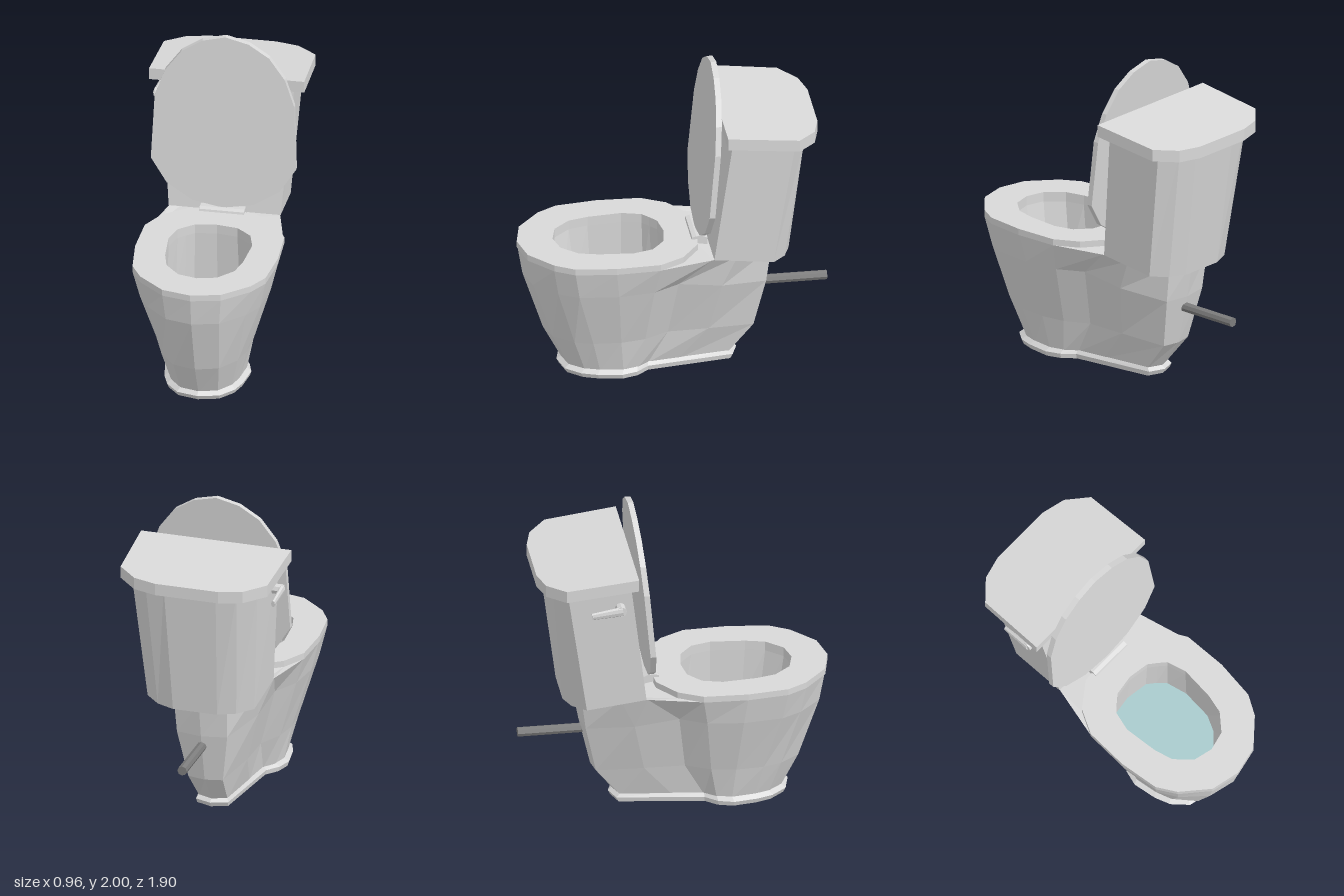
import * as THREE from 'three';

const mat = (name, color) => Object.assign(new THREE.MeshStandardMaterial({ color, flatShading: true }), { name });

// Mirror a half outline of [x, z] points (front to back on +x) into a full ring at height y (number or function of z)
function ring(half, y) {
  const right = half.filter(([x]) => x > 0).reverse().map(([x, z]) => [-x, z]);
  return [...half, ...right].map(([x, z]) => new THREE.Vector3(x, typeof y === 'function' ? y(z) : y, z));
}

// Skin a stack of rings, with optional fan caps
function loft(rings, { bottom = false, top = false } = {}) {
  const pos = [];
  const tri = (...pts) => pts.forEach((p) => pos.push(p.x, p.y, p.z));
  const n = rings[0].length;
  const centre = (r) => r.reduce((s, p) => s.add(p), new THREE.Vector3()).divideScalar(n);
  for (let j = 0; j < n; j++) {
    const k = (j + 1) % n;
    for (let i = 0; i + 1 < rings.length; i++) {
      const [lo, hi] = [rings[i], rings[i + 1]];
      tri(lo[j], lo[k], hi[k]);
      tri(lo[j], hi[k], hi[j]);
    }
    const first = rings[0], last = rings[rings.length - 1];
    if (bottom) tri(centre(first), first[k], first[j]);
    if (top) tri(centre(last), last[j], last[k]);
  }
  const g = new THREE.BufferGeometry();
  g.setAttribute('position', new THREE.Float32BufferAttribute(pos, 3));
  g.computeVertexNormals();
  return g;
}

export function createModel() {
  const model = new THREE.Group();
  model.name = 'toilet';
  const porcelain = mat('porcelain', 0xd8d8d8);
  const water = mat('water', 0xa8cacc);
  const metal = mat('pipeMetal', 0x7c7c7c);
  const add = (name, geometry, material = porcelain, parent = model) => {
    const m = new THREE.Mesh(geometry, material);
    m.name = name;
    parent.add(m);
    return m;
  };

  // Pedestal: outlines from floor to deck, pinched at the waist
  const slope = (y0, z0, k) => (z) => y0 + k * (z - z0);
  const deckY = (z) => 0.82 - 0.1 * Math.max(0, -0.2 - z);
  const footHalf = [[0, 0.675], [0.115, 0.645], [0.185, 0.56], [0.215, 0.47], [0.235, 0.33], [0.21, 0.24], [0.155, 0.17], [0.13, -0.02], [0.09, -0.33], [0, -0.365]];
  const lowHalf = [[0, 0.79], [0.14, 0.75], [0.235, 0.63], [0.268, 0.52], [0.28, 0.35], [0.255, 0.2], [0.18, 0.05], [0.175, -0.2], [0.11, -0.485], [0, -0.505]];
  const midHalf = [[0, 0.915], [0.165, 0.875], [0.305, 0.74], [0.37, 0.62], [0.395, 0.38], [0.37, 0.16], [0.285, 0], [0.265, -0.27], [0.16, -0.555], [0, -0.578]];
  const deckHalf = [[0, 0.945], [0.18, 0.905], [0.34, 0.77], [0.41, 0.65], [0.437, 0.4], [0.427, 0.13], [0.345, -0.2], [0.295, -0.36], [0.17, -0.585], [0, -0.62]];
  add('pedestal', loft([
    ring(footHalf, 0.04),
    ring(lowHalf, (z) => 0.26 + 0.1 * Math.min(0, z + 0.2)),
    ring(midHalf, (z) => 0.64 + 0.16 * Math.min(0, z)),
    ring(deckHalf, deckY),
  ]));

  // Flange around the foot
  const grow = (sx, sz) => footHalf.map(([x, z]) => [x * sx, 0.155 + (z - 0.155) * sz]);
  add('footFlange', loft([ring(grow(1.09, 1.03), 0), ring(grow(1.13, 1.06), 0.03), ring(grow(1, 1), 0.055)], { bottom: true }));

  // Deck that carries the tank
  const deckOutline = [...deckHalf.slice(5), ...deckHalf.slice(5, -1).reverse().map(([x, z]) => [-x, z]), [-0.35, -0.02], [0, -0.02], [0.35, -0.02]];
  const deck = new THREE.ShapeGeometry(new THREE.Shape(deckOutline.map(([x, z]) => new THREE.Vector2(x, -z))));
  deck.rotateX(-Math.PI / 2);
  const dp = deck.attributes.position;
  for (let i = 0; i < dp.count; i++) dp.setY(i, deckY(dp.getZ(i)));
  add('tankDeck', deck);

  // Rim, rolling over the hole and down into the basin
  const rimHalf = [[0, 0.95], [0.18, 0.91], [0.34, 0.77], [0.41, 0.65], [0.44, 0.4], [0.43, 0.13], [0.35, -0.02], [0.2, -0.13], [0, -0.15]];
  const holeHalf = [[0, 0.73], [0.12, 0.7], [0.21, 0.6], [0.24, 0.48], [0.258, 0.27], [0.225, 0.15], [0.18, 0.11], [0.13, 0.07], [0, 0.05]];
  const waterHalf = [[0, 0.675], [0.1, 0.65], [0.2, 0.56], [0.25, 0.46], [0.265, 0.27], [0.235, 0.14], [0.19, 0.09], [0.14, 0.05], [0, 0.03]];
  add('rim', loft([ring(rimHalf, 0.82), ring(rimHalf, 0.86), ring(holeHalf, 0.86), ring(holeHalf, 0.8)]));
  add('basin', loft([ring(holeHalf, 0.8), ring(waterHalf, 0.45)]));
  add('water', loft([ring(waterHalf, 0.45)], { top: true }), water);

  // Raised seat lid, leaning back
  const lidHalf = [[0, 2], [0.143, 1.965], [0.27, 1.885], [0.37, 1.75], [0.43, 1.58], [0.447, 1.165], [0.347, 1.01], [0.188, 0.91], [0, 0.875]];
  const lidOutline = [...lidHalf, ...lidHalf.slice(1, -1).reverse().map(([x, y]) => [-x, y])];
  const lid = new THREE.ExtrudeGeometry(new THREE.Shape(lidOutline.map(([x, y]) => new THREE.Vector2(x, y))), { depth: 0.035, bevelEnabled: false });
  const lp = lid.attributes.position;
  for (let i = 0; i < lp.count; i++) lp.setZ(i, lp.getZ(i) - 0.175 - 0.088 * (lp.getY(i) - 0.875));
  lid.computeVertexNormals();
  add('seatLid', lid);

  // Hinge bar with a sloped front
  const hinge = new THREE.Shape([[0.095, 0.84], [0.2, 0.82], [0.2, 0.865], [0.17, 0.878], [0.13, 0.88], [0.105, 0.873]].map(([x, y]) => new THREE.Vector2(x, y)));
  const hingeGeo = new THREE.ExtrudeGeometry(hinge, { depth: 0.276, bevelEnabled: false });
  hingeGeo.rotateY(Math.PI / 2).translate(-0.138, 0, 0);
  add('lidHinge', hingeGeo);

  // Tank and its cover, both tilted back
  const tankLow = [[0, -0.21], [0.345, -0.21], [0.34, -0.575], [0.25, -0.655], [0.14, -0.695]];
  const tankHigh = [[0, -0.315], [0.41, -0.315], [0.4, -0.7], [0.29, -0.775], [0.165, -0.8]];
  const coverHalf = [[0, -0.275], [0.478, -0.275], [0.467, -0.715], [0.345, -0.825], [0.2, -0.863]];
  add('tank', loft([ring(tankLow, slope(0.82, -0.21, 0.125)), ring(tankHigh, slope(1.65, -0.315, 0.11))], { bottom: true, top: true }));
  add('tankCover', loft([ring(coverHalf, slope(1.645, -0.275, 0.115)), ring(coverHalf, slope(1.72, -0.275, 0.115))], { bottom: true, top: true }));

  // Flush handle on the right side of the tank
  const handle = new THREE.Group();
  handle.name = 'flushHandle';
  handle.position.set(-0.42, 1.5, -0.38);
  model.add(handle);
  add('handlePivot', new THREE.CylinderGeometry(0.033, 0.033, 0.08, 8).rotateZ(Math.PI / 2), porcelain, handle);
  const lever = add('handleLever', new THREE.CylinderGeometry(0.032, 0.022, 0.19, 8).scale(0.55, 1, 1), porcelain, handle);
  lever.position.set(-0.033, -0.01, -0.085);
  lever.rotation.x = Math.PI / 2 - 0.12;

  // Supply pipe at the back
  add('supplyPipe', new THREE.CylinderGeometry(0.03, 0.03, 0.45, 8).rotateX(Math.PI / 2), metal).position.set(0, 0.475, -0.725);

  return model;
}
